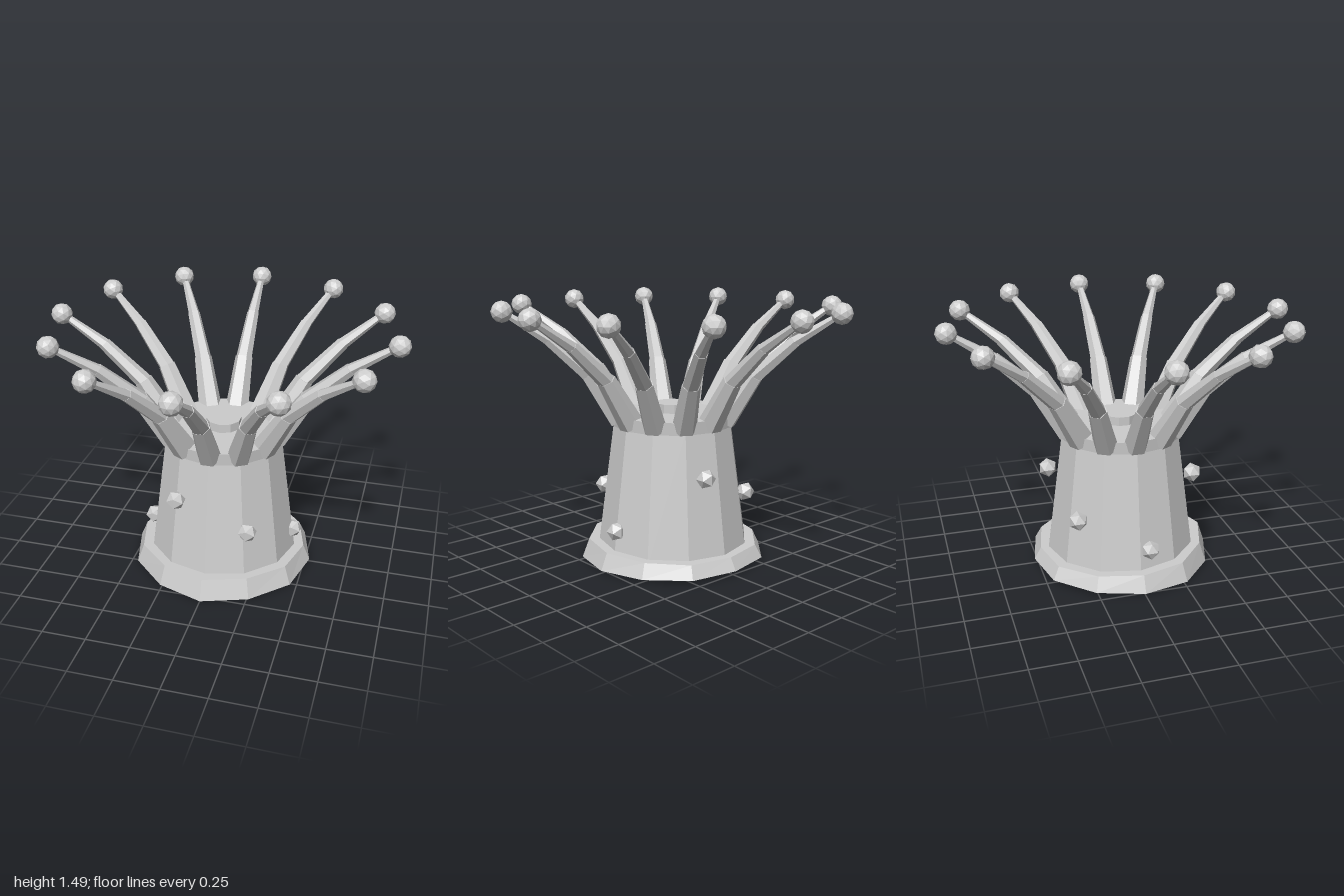
import * as THREE from 'three';

const UP = new THREE.Vector3(0, 1, 0);

export function createModel() {
  const model = new THREE.Group();
  const grey = new THREE.MeshStandardMaterial({ color: 0xcccccc });
  grey.name = 'pale grey';
  grey.flatShading = true;

  const add = (name, geometry, parent = model) => {
    const mesh = new THREE.Mesh(geometry, grey);
    mesh.name = name;
    parent.add(mesh);
    return mesh;
  };

  // Flared foot, slightly uneven along both rims
  const foot = new THREE.CylinderGeometry(0.49, 0.53, 0.11, 12);
  const p = foot.attributes.position;
  for (let i = 0; i < p.count; i++) {
    const x = p.getX(i), z = p.getZ(i);
    const tilt = z / 0.53;
    p.setY(i, p.getY(i) > 0 ? 0.108 + 0.013 * tilt : 0.013 - 0.013 * tilt);
    const wobble = 1 + 0.015 * Math.sin(5 * Math.atan2(z, x));
    p.setX(i, x * wobble);
    p.setZ(i, z * wobble);
  }
  foot.computeVertexNormals();
  add('foot', foot);

  // Tapered column, disc on top and raised mouth
  add('column', new THREE.CylinderGeometry(0.34, 0.44, 0.74, 12)).position.y = 0.43;
  add('disc', new THREE.CylinderGeometry(0.355, 0.35, 0.07, 12)).position.y = 0.815;
  add('mouth', new THREE.CylinderGeometry(0.1, 0.1, 0.06, 10)).position.y = 0.87;

  // Curved tentacles of three tapered segments with a ball at the tip
  const joints = [[0.31, 0.82], [0.47, 1.07], [0.69, 1.27], [0.93, 1.425]]
    .map(([x, y]) => new THREE.Vector3(x, y, 0));
  const radii = [[0.07, 0.052], [0.048, 0.036], [0.034, 0.018]];
  for (let i = 0; i < 12; i++) {
    const tentacle = new THREE.Group();
    tentacle.name = 'tentacle';
    tentacle.rotation.y = i * Math.PI / 6;
    radii.forEach(([bottom, top], k) => {
      const direction = joints[k + 1].clone().sub(joints[k]);
      const segment = add('tentacleSegment',
        new THREE.CylinderGeometry(top, bottom, direction.length() + 0.015, 6), tentacle);
      segment.position.copy(joints[k]).lerp(joints[k + 1], 0.5);
      segment.quaternion.setFromUnitVectors(UP, direction.normalize());
    });
    add('tentacleTip', new THREE.IcosahedronGeometry(0.06, 1), tentacle)
      .position.set(0.94, 1.43, 0);
    model.add(tentacle);
  }

  // Warts one radian apart, at three repeating heights
  for (let i = 0; i < 6; i++) {
    add('wart', new THREE.IcosahedronGeometry(0.055, 0))
      .position.set(0.42 * Math.cos(i), 0.22 + 0.165 * (i % 3), 0.42 * Math.sin(i));
  }
  return model;
}
